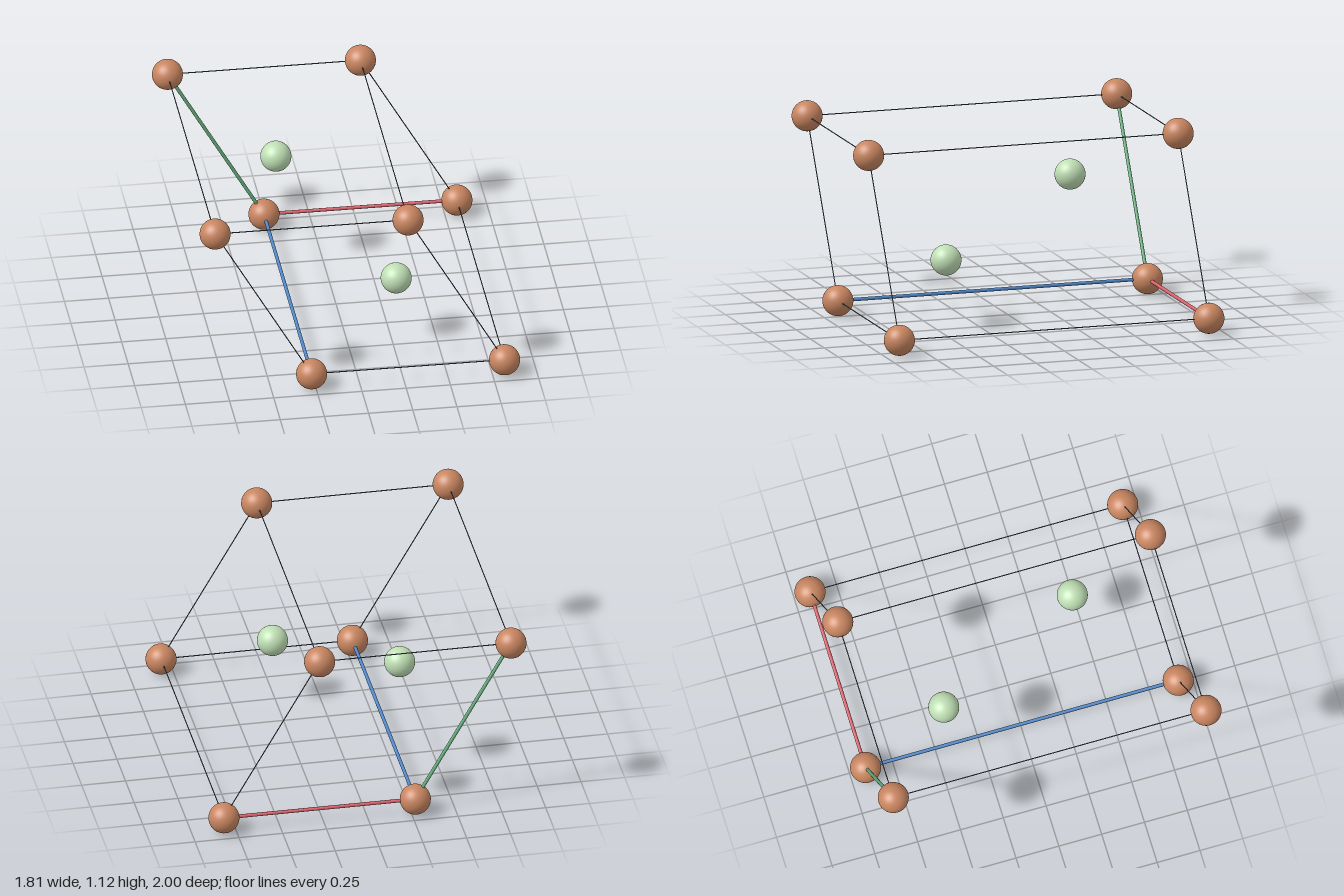
import * as THREE from 'three';

function material(name, color) {
  const m = new THREE.MeshStandardMaterial({ color });
  m.name = name;
  return m;
}

export function createModel() {
  const copper = material('copper', 0xc88560);
  const paleGreen = material('pale green', 0xbfdfb4);
  const red = material('axis red', 0xd9636d);
  const green = material('axis green', 0x68b080);
  const blue = material('axis blue', 0x5288c8);
  const slate = material('slate', 0x4a5866);

  const model = new THREE.Group();
  model.name = 'hexagonalUnitCell';

  // Cell vectors: the a and b edges meet at 120 degrees, c runs front to back
  const origin = new THREE.Vector3(-0.273, 0.087, -0.913);
  const a = new THREE.Vector3(1.092, 0, 0);
  const b = new THREE.Vector3(-0.546, 0.946, 0);
  const c = new THREE.Vector3(0, 0, 1.826);
  const at = (u, v, w) => origin.clone()
    .addScaledVector(a, u).addScaledVector(b, v).addScaledVector(c, w);

  const ball = new THREE.SphereGeometry(0.087, 40, 28);
  function addAtom(name, position, mat) {
    const atom = new THREE.Mesh(ball, mat);
    atom.name = name;
    atom.position.copy(position);
    model.add(atom);
  }

  function addRod(name, from, to, radius, mat) {
    const dir = to.clone().sub(from);
    const rod = new THREE.Mesh(new THREE.CylinderGeometry(radius, radius, dir.length(), 12), mat);
    rod.name = name;
    rod.position.copy(from).add(to).multiplyScalar(0.5);
    rod.quaternion.setFromUnitVectors(new THREE.Vector3(0, 1, 0), dir.normalize());
    model.add(rod);
  }

  // Corner atoms
  for (const u of [0, 1]) for (const v of [0, 1]) for (const w of [0, 1]) {
    addAtom('cornerAtom', at(u, v, w), copper);
  }

  // Two atoms inside the cell
  addAtom('innerAtomBack', at(1 / 3, 2 / 3, 1 / 4), paleGreen);
  addAtom('innerAtomFront', at(2 / 3, 1 / 3, 3 / 4), paleGreen);

  // Four parallel edges per direction; the one through the origin is a thick coloured axis
  const axes = [['axisA', red], ['axisB', green], ['axisC', blue]];
  axes.forEach(([name, mat], k) => {
    for (const p of [0, 1]) for (const q of [0, 1]) {
      const start = [p, q];
      start.splice(k, 0, 0);
      const end = [p, q];
      end.splice(k, 0, 1);
      const isAxis = p + q === 0;
      addRod(isAxis ? name : 'cellEdge', at(...start), at(...end),
        isAxis ? 0.01 : 0.003, isAxis ? mat : slate);
    }
  });

  return model;
}
